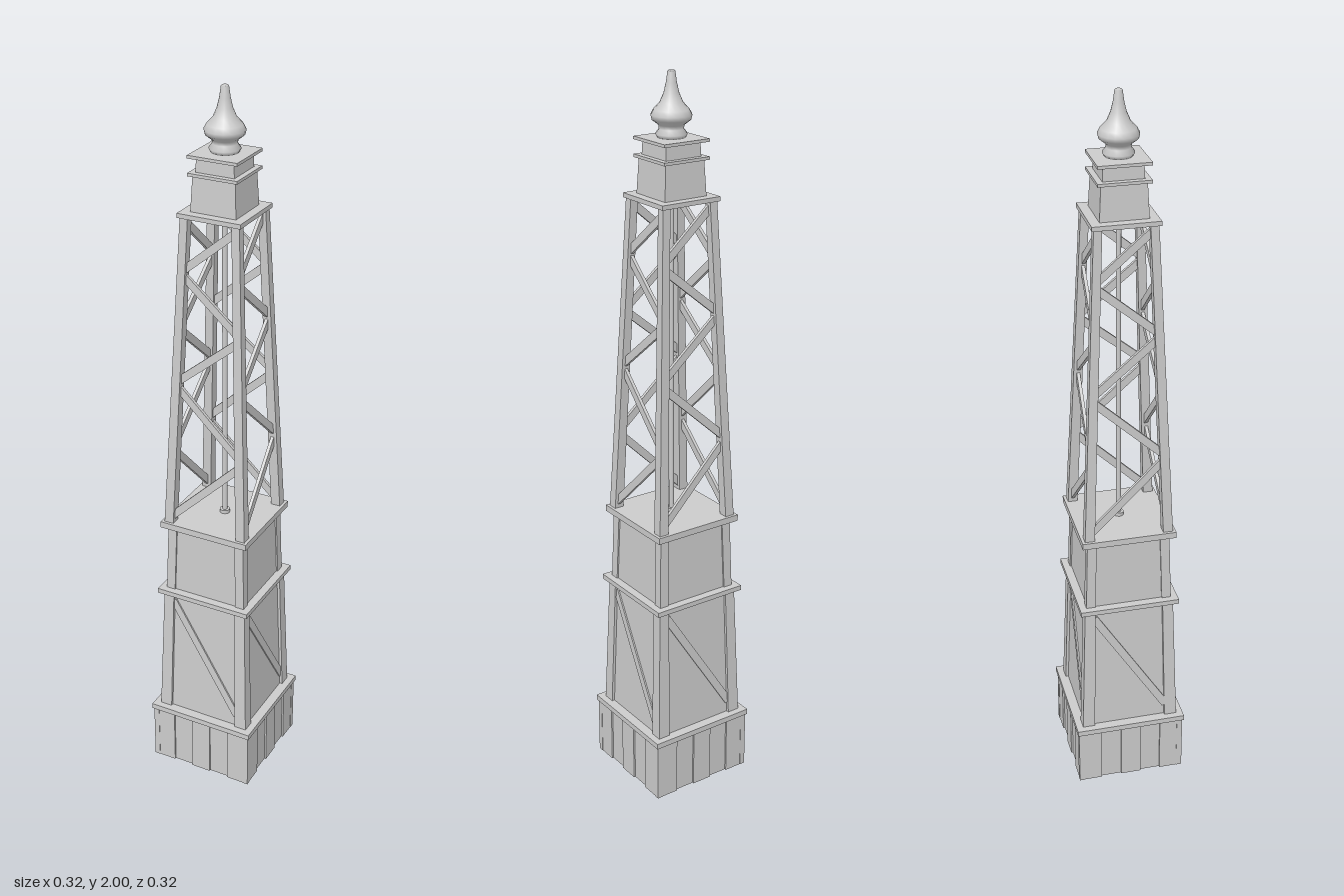
import * as THREE from 'three';

const material = new THREE.MeshStandardMaterial({ color: 0xcccccc });

function add(parent, name, geometry) {
  const mesh = new THREE.Mesh(geometry, material);
  mesh.name = name;
  parent.add(mesh);
  return mesh;
}

function box(parent, name, w, h, d, x, y, z) {
  const mesh = add(parent, name, new THREE.BoxGeometry(w, h, d));
  mesh.position.set(x, y, z);
  return mesh;
}

// Square block whose half width changes from bottom to top
function taperedBlock(parent, name, y0, y1, half0, half1) {
  const g = new THREE.BoxGeometry(2, y1 - y0, 2);
  const p = g.attributes.position;
  for (let i = 0; i < p.count; i++) {
    const s = p.getY(i) < 0 ? half0 : half1;
    p.setXYZ(i, p.getX(i) * s, p.getY(i) + (y0 + y1) / 2, p.getZ(i) * s);
  }
  g.computeVertexNormals();
  return add(parent, name, g);
}

// Square corner post leaning inwards; the halves are its outer edges
function cornerPost(parent, name, y0, y1, half0, half1, width0, width1) {
  const g = new THREE.BoxGeometry(1, y1 - y0, 1);
  const p = g.attributes.position;
  for (let i = 0; i < p.count; i++) {
    const low = p.getY(i) < 0;
    const h = low ? half0 : half1;
    const w = low ? width0 : width1;
    p.setXYZ(i, h + (p.getX(i) - 0.5) * w, p.getY(i) + (y0 + y1) / 2, h + (p.getZ(i) - 0.5) * w);
  }
  g.computeVertexNormals();
  return add(parent, name, g);
}

// Flat bar between two points, its broad side facing +z
function bar(parent, name, a, b, width, depth) {
  const dir = b.clone().sub(a);
  const mesh = add(parent, name, new THREE.BoxGeometry(width, dir.length(), depth));
  mesh.position.copy(a).add(b).multiplyScalar(0.5);
  const y = dir.normalize();
  const x = new THREE.Vector3().crossVectors(y, new THREE.Vector3(0, 0, 1)).normalize();
  const z = new THREE.Vector3().crossVectors(x, y);
  mesh.quaternion.setFromRotationMatrix(new THREE.Matrix4().makeBasis(x, y, z));
  return mesh;
}

export function createModel() {
  const tower = new THREE.Group();
  tower.name = 'latticeTower';

  // Ledges: y centre, half width, thickness
  const ledges = [
    [0.177, 0.158, 0.016],
    [0.581, 0.14, 0.014],
    [0.797, 0.131, 0.018],
    [1.684, 0.089, 0.012],
    [1.786, 0.069, 0.008],
    [1.831, 0.069, 0.008],
  ];
  for (const [y, half, h] of ledges) box(tower, 'ledge', half * 2, h, half * 2, 0, y, 0);

  // Panelled lower body and closed cap
  taperedBlock(tower, 'lowerPanels', 0.18, 0.58, 0.131, 0.118);
  taperedBlock(tower, 'middlePanels', 0.58, 0.795, 0.117, 0.111);
  taperedBlock(tower, 'capLower', 1.685, 1.785, 0.064, 0.059);
  taperedBlock(tower, 'capUpper', 1.785, 1.83, 0.054, 0.052);

  const levels = [0.81, 1.03, 1.22, 1.38, 1.53, 1.67];
  const legHalf = (y) => THREE.MathUtils.mapLinear(y, 0.8, 1.68, 0.123, 0.083);

  for (let k = 0; k < 4; k++) {
    const side = new THREE.Group();
    side.name = 'side';
    side.rotation.y = (k * Math.PI) / 2;
    tower.add(side);

    // Open-bottomed plinth of upright boards
    for (let i = 0; i < 5; i++) {
      const inset = i % 2 ? 0.005 : 0;
      box(side, 'plinthBoard', 0.058, 0.17, 0.014, (i - 2) * 0.058, 0.085, 0.146 - inset);
    }
    box(side, 'plinthPost', 0.016, 0.17, 0.016, 0.146, 0.085, 0.146);

    // Corner posts
    cornerPost(side, 'lowerPost', 0.18, 0.58, 0.139, 0.126, 0.035, 0.03);
    cornerPost(side, 'middlePost', 0.585, 0.795, 0.121, 0.115, 0.026, 0.026);
    cornerPost(side, 'latticeLeg', 0.8, 1.685, 0.123, 0.083, 0.027, 0.022);

    // Diagonal across the lower panel
    bar(side, 'panelBrace', new THREE.Vector3(-0.1, 0.55, 0.118), new THREE.Vector3(0.107, 0.22, 0.129), 0.022, 0.01);

    // Zigzag lattice, meeting as crosses with the opposite side
    for (let i = 0; i < levels.length - 1; i++) {
      const s = i % 2 ? -1 : 1;
      const [y0, y1] = [levels[i] + 0.008, levels[i + 1] - 0.008];
      const [h0, h1] = [legHalf(y0) - 0.013, legHalf(y1) - 0.013];
      bar(side, 'latticeBrace', new THREE.Vector3(-s * h0, y0, h0), new THREE.Vector3(s * h1, y1, h1), 0.021, 0.009);
    }
  }

  // Central pole with end collars
  const pole = add(tower, 'centralPole', new THREE.CylinderGeometry(0.007, 0.007, 0.88, 12));
  pole.position.y = 1.242;
  for (const y of [0.811, 1.662]) {
    add(tower, 'poleCollar', new THREE.CylinderGeometry(0.014, 0.014, 0.01, 12)).position.y = y;
  }

  // Turned finial
  const profile = [
    [0, 1.833], [0.036, 1.835], [0.041, 1.845], [0.032, 1.857], [0.033, 1.867],
    [0.05, 1.88], [0.053, 1.892], [0.046, 1.905], [0.03, 1.922], [0.02, 1.945],
    [0.014, 1.97], [0.01, 1.998], [0.008, 2], [0, 2],
  ].map(([r, y]) => new THREE.Vector2(r, y));
  add(tower, 'finial', new THREE.LatheGeometry(profile, 16));

  return tower;
}
